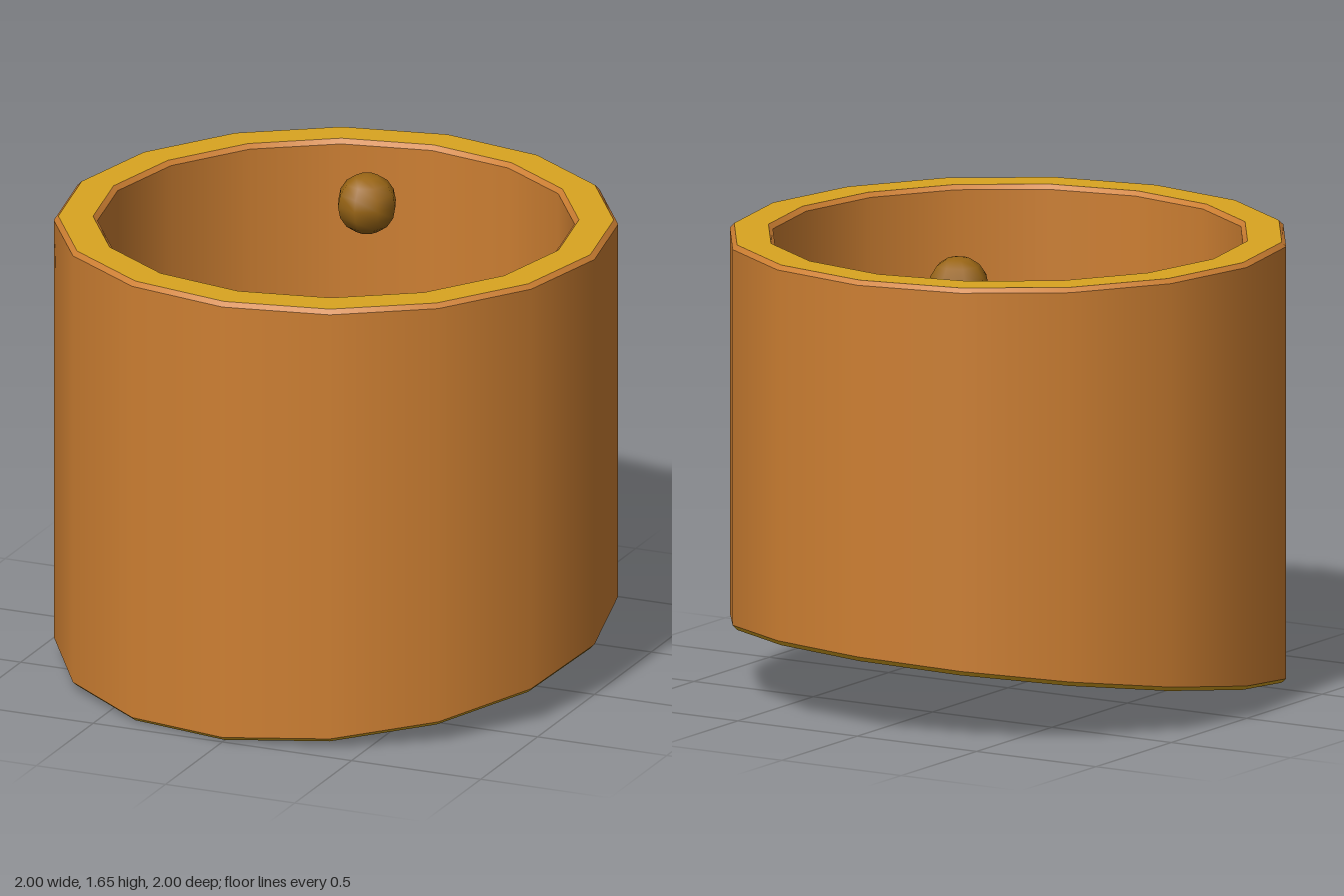
import * as THREE from 'three';

const SIDES = 16, TOP = 1.655, BEVEL = 0.016, OUTER = 1, INNER = 0.845;

// Slanted plane along which the lower end is cut
const cutHeight = (x, z) => 0.16 - 0.135 * z + 0.035 * x;

// One band of the tube wall; each end is [radius, height, follows the slanted cut]
function band(a, b) {
  const geo = new THREE.LatheGeometry(
    [new THREE.Vector2(a[0], a[1]), new THREE.Vector2(b[0], b[1])], SIDES);
  const pos = geo.attributes.position;
  for (let i = 0; i < pos.count; i++) {
    const end = i % 2 === 0 ? a : b;
    if (end[2]) pos.setY(i, end[1] + cutHeight(pos.getX(i), pos.getZ(i)));
  }
  if (a[2] && b[2]) geo.computeVertexNormals();
  return geo;
}

export function createModel() {
  const group = new THREE.Group();
  const material = (name, color) => {
    const m = new THREE.MeshStandardMaterial({ color });
    m.name = name;
    return m;
  };
  const bronze = material('bronze', 0xcd7f32);
  const gold = material('gold', 0xdaa520);
  const darkGold = material('dark gold', 0x996515);

  const add = (name, geo, mat) => {
    const mesh = new THREE.Mesh(geo, mat);
    mesh.name = name;
    group.add(mesh);
    return mesh;
  };

  // Closed cross-section of the tube: outside up, over the rim, inside down
  const outerLow = [OUTER, 0, true], outerHigh = [OUTER, TOP - BEVEL, false];
  const rimOuter = [OUTER - BEVEL, TOP, false], rimInner = [INNER + BEVEL, TOP, false];
  const innerHigh = [INNER, TOP - BEVEL, false], innerLow = [INNER, 0, true];
  const footInner = [INNER + BEVEL, -BEVEL, true], footOuter = [OUTER - BEVEL, -BEVEL, true];

  add('outerWall', band(outerLow, outerHigh), bronze);
  add('topOuterBevel', band(outerHigh, rimOuter), bronze);
  add('topRim', band(rimOuter, rimInner), gold);
  add('topInnerBevel', band(rimInner, innerHigh), bronze);
  add('innerWall', band(innerHigh, innerLow), bronze);
  add('bottomInnerBevel', band(innerLow, footInner), gold);
  add('bottomRim', band(footInner, footOuter), gold);
  add('bottomOuterBevel', band(footOuter, outerLow), gold);

  // Small beads floating inside the tube
  const bead = new THREE.SphereGeometry(0.11, 8, 8);
  [
    [-0.085, 1.55, -0.465],
    [0, 0.98, 0.01],
    [-0.52, 0.92, 0.09],
    [0.415, 1.07, 0.38],
    [-0.185, 1.19, 0.545],
  ].forEach((p, i) => add(`bead${i + 1}`, bead, darkGold).position.set(...p));

  return group;
}
